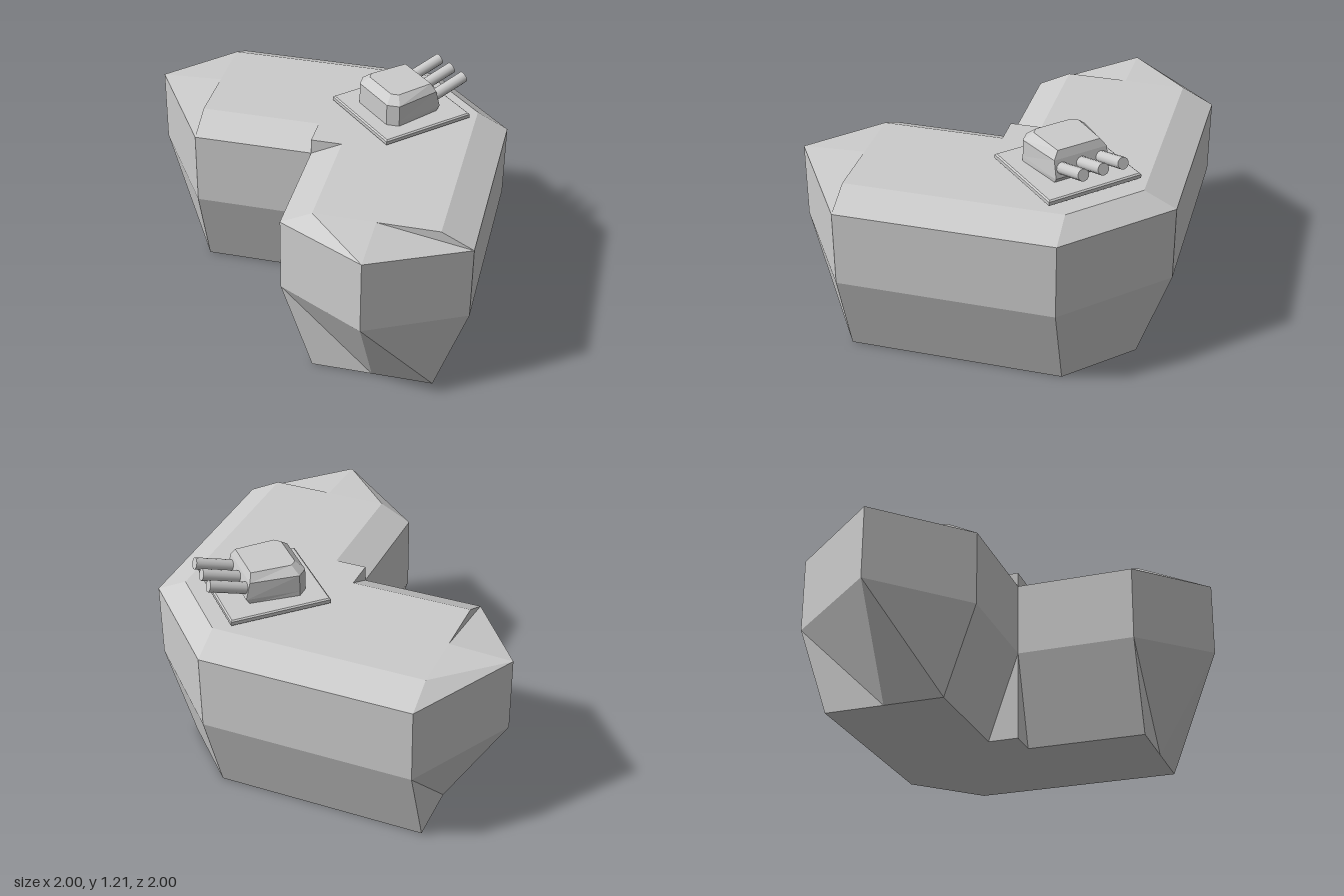
import * as THREE from 'three';

const grey = () => new THREE.MeshStandardMaterial({ color: 0xcccccc, flatShading: true });

// Mesh from convex polygons, each listed counter-clockwise as seen from outside
function polyMesh(name, polys) {
  const pos = [];
  for (const p of polys) {
    for (let i = 1; i < p.length - 1; i++) pos.push(...p[0], ...p[i], ...p[i + 1]);
  }
  const geo = new THREE.BufferGeometry();
  geo.setAttribute('position', new THREE.Float32BufferAttribute(pos, 3));
  geo.computeVertexNormals();
  const mesh = new THREE.Mesh(geo, grey());
  mesh.name = name;
  return mesh;
}

// Closed solid through horizontal rings: [{ y, ring: [[x, z], ...] }, ...] from bottom to top
function loft(name, levels) {
  const rings = levels.map(({ y, ring }) => ring.map(([x, z]) => [x, y, z]));
  const polys = [[...rings[0]].reverse(), rings[rings.length - 1]];
  for (let k = 0; k < rings.length - 1; k++) {
    const lo = rings[k], hi = rings[k + 1], n = lo.length;
    for (let i = 0; i < n; i++) {
      const j = (i + 1) % n;
      polys.push([lo[i], lo[j], hi[j], hi[i]]);
    }
  }
  return polyMesh(name, levels.length ? polys : []);
}

// Straight wing along +z with a pointed end
function makeWing(name) {
  const length = 0.66;
  const profile = [[0.17, 0], [0.83, 0], [1, 0.5], [1, 0.915], [0.83, 1], [0.17, 1], [0, 0.915], [0, 0.5]];
  const rim = [[0.5, 0], [0.83, 0], [1, 0.5], [1, 0.915], [0.5, 1], [0.17, 1], [0, 0.915], [0, 0.5]];
  const at = ([x, y], z = length) => [x, y, z];
  const tip = ([, y]) => [0.5, y < 0.7 ? 0.57 : 0.985, 1];
  const polys = [];
  profile.forEach((a, i) => {
    const b = profile[(i + 1) % profile.length];
    polys.push([at(a, 0), at(b, 0), at(b), at(a)]);
  });
  // Faces running from the rim to the vertical edge at the tip
  rim.forEach((a, i) => {
    const b = rim[(i + 1) % rim.length];
    const face = [at(a), at(b), tip(b)];
    if (tip(a)[1] !== tip(b)[1]) face.push(tip(a));
    polys.push(face);
  });
  // Small steps where the rim cuts across the profile
  polys.push([at([0.17, 0]), at([0.5, 0]), at([0, 0.5])]);
  polys.push([at([1, 0.915]), at([0.83, 1]), at([0.5, 1])]);
  return polyMesh(name, polys);
}

function makeTurret() {
  const turret = new THREE.Group();
  turret.name = 'turret';

  // Square base plate with a thin bevel
  const square = (h) => [[-h, h], [h, h], [h, -h], [-h, -h]];
  turret.add(loft('turretPlate', [
    { y: 1.01, ring: square(0.265) },
    { y: 1.016, ring: square(0.273) },
    { y: 1.036, ring: square(0.273) },
    { y: 1.043, ring: square(0.265) },
  ]));

  // Gun house: clipped rear corners, sloped front and bevelled roof
  const house = (front, wf, w, r, c) => [
    [-wf, front], [wf, front], [w, c - r], [w - c, -r], [c - w, -r], [-w, c - r],
  ];
  turret.add(loft('gunHouse', [
    { y: 1.04, ring: house(0.13, 0.155, 0.185, 0.185, 0.05) },
    { y: 1.07, ring: house(0.15, 0.158, 0.185, 0.185, 0.05) },
    { y: 1.165, ring: house(0.125, 0.155, 0.185, 0.185, 0.05) },
    { y: 1.207, ring: house(0.108, 0.125, 0.135, 0.14, 0.03) },
  ]));

  // Three raised barrels
  const start = new THREE.Vector3(0, 1.1, 0.08), end = new THREE.Vector3(0, 1.178, 0.335);
  const dir = end.clone().sub(start);
  for (let i = -1; i <= 1; i++) {
    const barrel = new THREE.Mesh(
      new THREE.CylinderGeometry(0.032, 0.032, dir.length(), 12),
      new THREE.MeshStandardMaterial({ color: 0xcccccc }),
    );
    barrel.name = 'barrel';
    barrel.quaternion.setFromUnitVectors(new THREE.Vector3(0, 1, 0), dir.clone().normalize());
    barrel.position.copy(start).add(end).multiplyScalar(0.5);
    barrel.position.x = i * 0.116;
    turret.add(barrel);
  }
  return turret;
}

export function createModel() {
  const model = new THREE.Group();
  model.name = 'cornerBastion';

  // Corner block with a cut outer corner
  const corner = (e) => [[0, 0], [e, 0], [e, -0.5], [0.5, -e], [0, -e]];
  model.add(loft('cornerBlock', [
    { y: 0, ring: corner(0.83) },
    { y: 0.5, ring: corner(1) },
    { y: 0.915, ring: corner(1) },
    { y: 1, ring: corner(0.83) },
  ]));

  // Two identical wings, a quarter turn apart
  const frontWing = makeWing('frontWing');
  const sideWing = makeWing('sideWing');
  sideWing.rotation.y = -Math.PI / 2;
  sideWing.position.z = -1;
  model.add(frontWing, sideWing);

  // Turret faces the cut corner
  const turret = makeTurret();
  turret.position.set(0.41, 0, -0.41);
  turret.rotation.y = Math.PI * 0.75;
  model.add(turret);

  return model;
}
